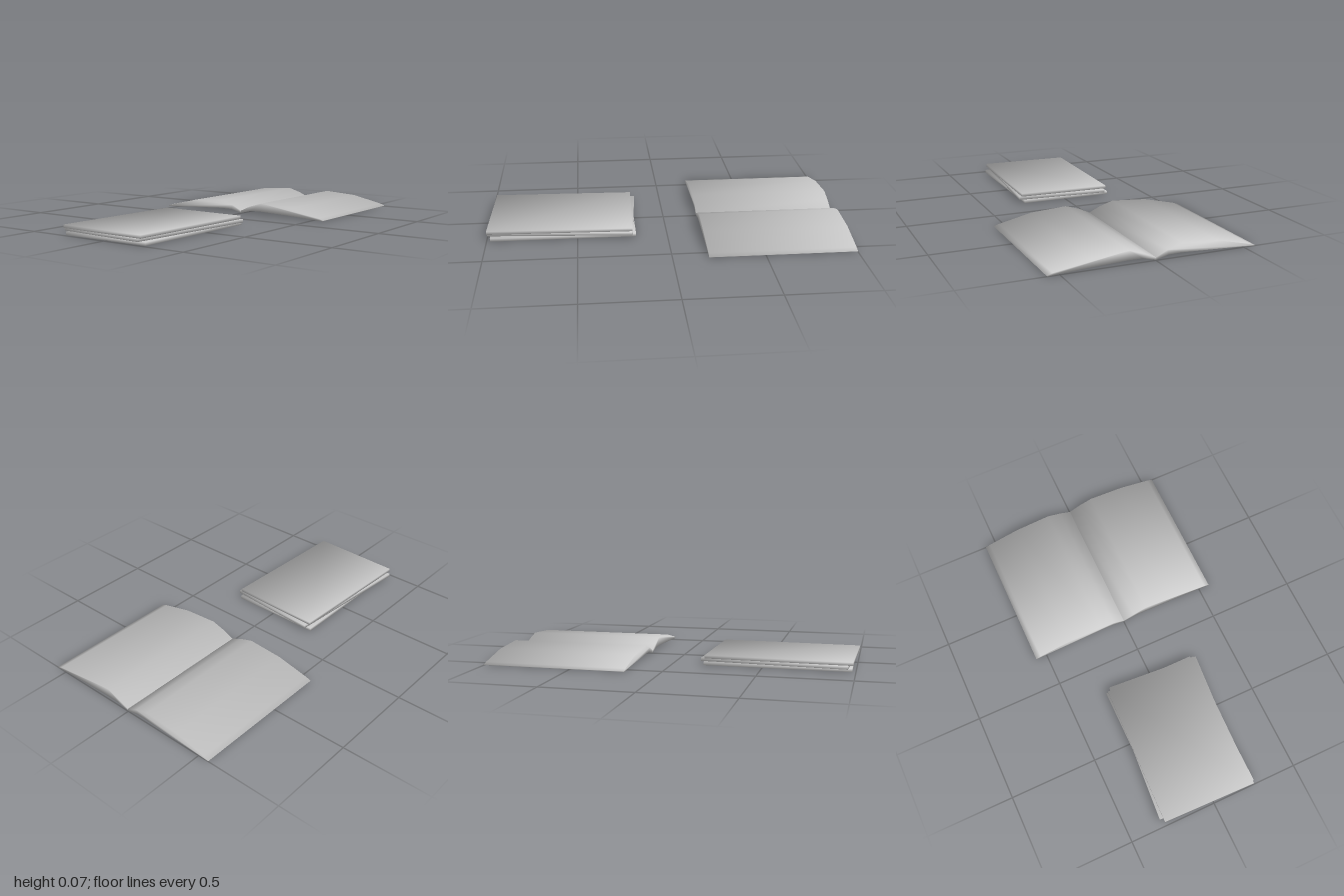
import * as THREE from 'three';
import { mergeVertices } from 'three/addons/utils/BufferGeometryUtils.js';

const paper = new THREE.MeshStandardMaterial({ color: 0xcccccc });

// Weld all corners and give each an angle-weighted normal, for soft shading over every edge
function soften(source) {
  source.deleteAttribute('uv');
  source.deleteAttribute('normal');
  const geo = mergeVertices(source, 1e-5);
  const pos = geo.attributes.position;
  const index = geo.index;
  const normals = Array.from({ length: pos.count }, () => new THREE.Vector3());
  const face = new THREE.Triangle();
  const n = new THREE.Vector3();
  for (let i = 0; i < index.count; i += 3) {
    const ids = [0, 1, 2].map((k) => index.getX(i + k));
    face.setFromAttributeAndIndices(pos, ...ids);
    face.getNormal(n);
    const corners = [face.a, face.b, face.c];
    ids.forEach((id, k) => {
      const u = corners[(k + 1) % 3].clone().sub(corners[k]);
      const v = corners[(k + 2) % 3].clone().sub(corners[k]);
      normals[id].addScaledVector(n, u.angleTo(v));
    });
  }
  const out = normals.flatMap((v) => v.normalize().toArray());
  geo.setAttribute('normal', new THREE.Float32BufferAttribute(out, 3));
  return geo;
}

function part(name, geo) {
  const mesh = new THREE.Mesh(soften(geo), paper);
  mesh.name = name;
  return mesh;
}

// Half of the open magazine: [distance from spine, height], over the top then back underneath
const pageProfile = [
  [0, 0.016], [0.065, 0.046], [0.145, 0.07], [0.35, 0.056], [0.535, 0.014], [0.565, 0.004],
  [0.56, 0], [0.33, 0.013], [0.145, 0.021], [0.07, 0.02], [0, 0.002],
];

function openHalf(side) {
  const shape = new THREE.Shape(pageProfile.map(([d, y]) => new THREE.Vector2(-side * d, y)));
  const geo = new THREE.ExtrudeGeometry(shape, { depth: 0.806, bevelEnabled: false });
  geo.rotateY(Math.PI / 2);
  geo.translate(0.194, 0, 0);
  return part(side > 0 ? 'frontPages' : 'backPages', geo);
}

export function createModel() {
  const model = new THREE.Group();
  model.name = 'magazines';

  // Open magazine lying face up
  const open = new THREE.Group();
  open.name = 'openMagazine';
  for (const side of [1, -1]) open.add(openHalf(side));
  model.add(open);

  // Stack of closed magazines, each turned a little: x, z, degrees
  const stack = new THREE.Group();
  stack.name = 'magazineStack';
  const thickness = 0.018;
  [
    ['bottomMagazine', -0.578, -0.012, 0],
    ['middleMagazine', -0.577, -0.015, -4.3],
    ['topMagazine', -0.59, -0.014, -1.7],
  ].forEach(([name, x, z, turn], i) => {
    const magazine = part(name, new THREE.BoxGeometry(0.806, thickness, 0.537));
    magazine.position.set(x, thickness * (i + 0.5), z);
    magazine.rotation.y = THREE.MathUtils.degToRad(turn);
    stack.add(magazine);
  });
  model.add(stack);

  return model;
}
